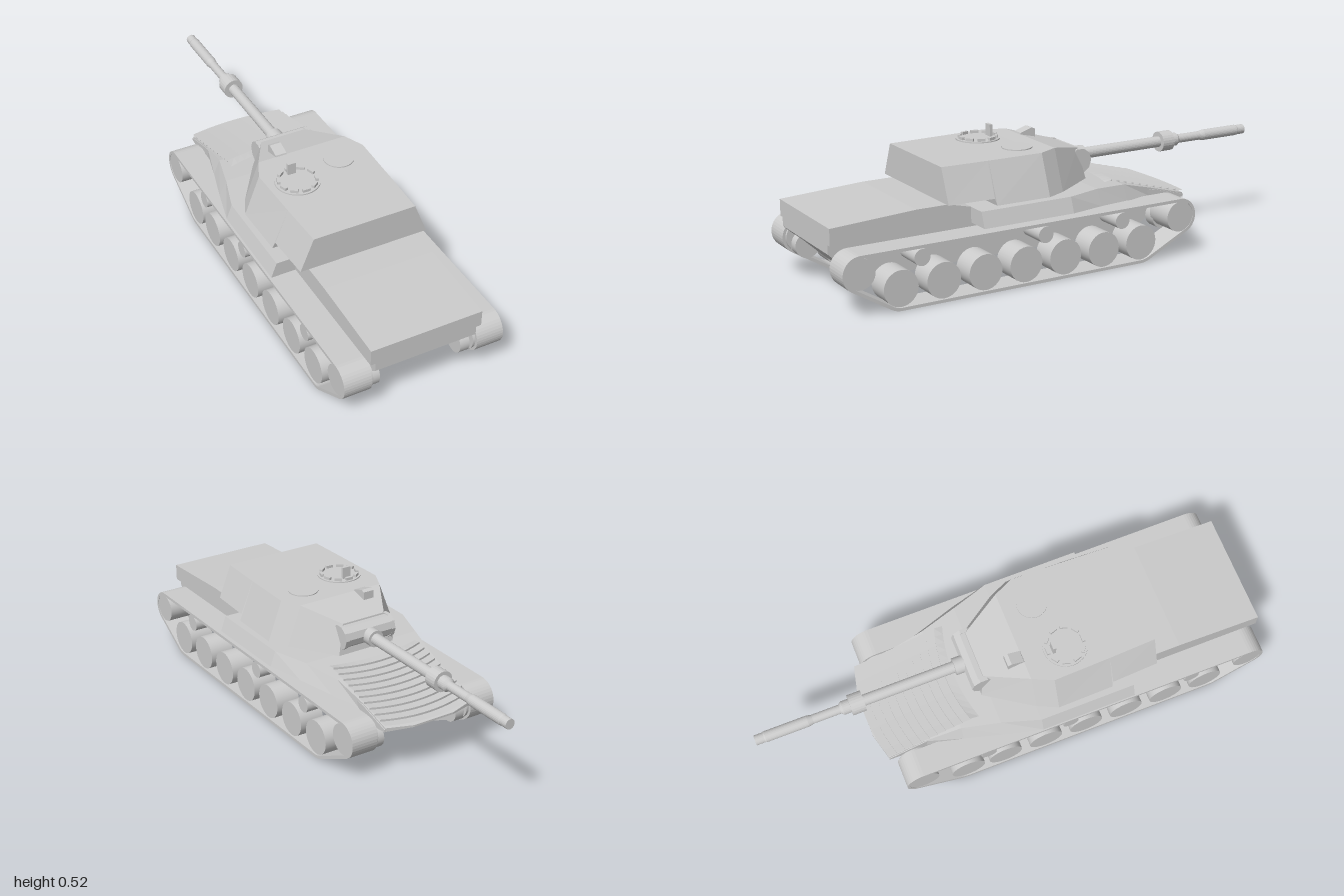
import * as THREE from 'three';

const grey = new THREE.MeshStandardMaterial({ color: 0xcccccc });
const flat = new THREE.MeshStandardMaterial({ color: 0xcccccc, flatShading: true });
const flatBoth = new THREE.MeshStandardMaterial({ color: 0xcccccc, flatShading: true, side: THREE.DoubleSide });

export function createModel() {
  const model = new THREE.Group();

  function add(name, geometry, x = 0, y = 0, z = 0, material = grey, parent = model) {
    const mesh = new THREE.Mesh(geometry, material);
    mesh.name = name;
    mesh.position.set(x, y, z);
    parent.add(mesh);
    return mesh;
  }

  // Cylinder lying along x
  const axle = (r, w, n = 32) => new THREE.CylinderGeometry(r, r, w, n).rotateZ(Math.PI / 2);

  // Side outline in (z, y), extruded from x0 to x1
  function sidePlate(outline, x0, x1, hole) {
    const v = (p) => p.map(([z, y]) => new THREE.Vector2(z, y));
    const shape = new THREE.Shape(v(outline));
    if (hole) shape.holes.push(new THREE.Path(v(hole)));
    const g = new THREE.ExtrudeGeometry(shape, { depth: x1 - x0, bevelEnabled: false });
    return g.rotateY(-Math.PI / 2).translate(x1, 0, 0);
  }

  // Skin over rings given as half outlines, mirrored across x = 0
  function mirroredLoft(halves) {
    const rings = halves.map((h) => [...h, ...h.slice().reverse().map(([x, y, z]) => [-x, y, z])]);
    const pos = [];
    const quad = (a, b, c, d) => pos.push(...a, ...b, ...c, ...a, ...c, ...d);
    const n = rings[0].length;
    for (let r = 0; r + 1 < rings.length; r++)
      for (let i = 0; i < n; i++) {
        const j = (i + 1) % n;
        quad(rings[r][i], rings[r][j], rings[r + 1][j], rings[r + 1][i]);
      }
    const s = rings[0], e = rings[rings.length - 1];
    for (let i = 0; i + 1 < n / 2; i++) {
      quad(e[i], e[i + 1], e[n - 2 - i], e[n - 1 - i]);
      quad(s[n - 1 - i], s[n - 2 - i], s[i + 1], s[i]);
    }
    const g = new THREE.BufferGeometry();
    g.setAttribute('position', new THREE.Float32BufferAttribute(pos, 3));
    g.computeVertexNormals();
    return g;
  }

  // Lower hull: narrow belly under a wider tub
  add('belly', sidePlate([[0.97, 0.19], [0.86, 0.087], [-0.33, 0.087], [-0.5, 0.19]], -0.165, 0.165));
  add('hullTub', sidePlate([[1, 0.25], [1, 0.215], [0.97, 0.187], [-0.42, 0.187], [-0.545, 0.2],
    [-0.545, 0.21], [-0.4, 0.25]], -0.204, 0.204));
  add('engineDeck', sidePlate([[1, 0.25], [1, 0.315], [0.66, 0.333], [0.53, 0.333], [0.435, 0.31],
    [0.435, 0.25]], -0.224, 0.224));

  // Upper hull with flared sponsons: z, lower half width, upper half width, bottom, top
  const sections = [
    [-0.573, 0.09, 0.09, 0.2, 0.208], [-0.545, 0.2, 0.2, 0.2, 0.215], [-0.4, 0.202, 0.2, 0.215, 0.254],
    [-0.25, 0.24, 0.215, 0.235, 0.294], [-0.1, 0.285, 0.255, 0.246, 0.308],
    [0.05, 0.324, 0.302, 0.25, 0.31], [0.435, 0.324, 0.302, 0.25, 0.31],
  ];
  add('upperHull', mirroredLoft(sections.map(([z, w0, w1, y0, y1]) => [[w0, y0, z], [w1, y1, z]])), 0, 0, 0, flat);

  // Ribbed glacis: curved overlapping steps
  const glacisY = (z) => 0.31 - 0.1 * Math.max(0, (-0.2 - z) / 0.37);
  const steps = 11, cols = 12, rows = [], glacisPos = [];
  for (let k = 0; k <= steps; k++) {
    const z = -0.2 - (0.375 * k) / steps;
    if (k > 0) rows.push([z, 0.009]);
    if (k < steps) rows.push([z, 0.001]);
  }
  const glacisPoint = ([zc, lift], c) => {
    const t = (2 * c) / cols - 1;
    const z = zc + 0.03 * t * t;
    return [0.2 * t, glacisY(z) + lift, z];
  };
  for (let r = 0; r + 1 < rows.length; r++)
    for (let c = 0; c < cols; c++) {
      const a = glacisPoint(rows[r], c), b = glacisPoint(rows[r], c + 1);
      const d = glacisPoint(rows[r + 1], c), e = glacisPoint(rows[r + 1], c + 1);
      glacisPos.push(...a, ...b, ...e, ...a, ...e, ...d);
    }
  const glacis = new THREE.BufferGeometry();
  glacis.setAttribute('position', new THREE.Float32BufferAttribute(glacisPos, 3));
  glacis.computeVertexNormals();
  add('ribbedGlacis', glacis, 0, 0, 0, flatBoth);

  // Track belt: outline wrapped around four circles (z, y, radius)
  function beltOutline(inset) {
    const circles = [[-0.446, 0.16, 0.072], [-0.262, 0.083, 0.083], [0.773, 0.083, 0.083], [0.931, 0.163, 0.069]]
      .map(([z, y, r]) => [z, y, r - inset]);
    const tangent = circles.map(([z, y, r], i) => {
      const [z2, y2, r2] = circles[(i + 1) % 4];
      return Math.atan2(y2 - y, z2 - z) - Math.acos((r - r2) / Math.hypot(z2 - z, y2 - y));
    });
    const pts = [];
    circles.forEach(([z, y, r], i) => {
      const from = tangent[(i + 3) % 4];
      let sweep = tangent[i] - from;
      while (sweep < 0) sweep += 2 * Math.PI;
      const n = Math.max(3, Math.ceil(sweep / 0.17));
      for (let k = 0; k <= n; k++) {
        const a = from + (sweep * k) / n;
        pts.push([z + r * Math.cos(a), y + r * Math.sin(a)]);
      }
    });
    return pts;
  }

  // Running gear on both sides
  for (const side of [1, -1]) {
    const gear = new THREE.Group();
    gear.name = side > 0 ? 'leftRunningGear' : 'rightRunningGear';
    model.add(gear);
    const x0 = side > 0 ? 0.214 : -0.324;
    add('trackBelt', sidePlate(beltOutline(0), x0, x0 + 0.11, beltOutline(0.012)), 0, 0, 0, grey, gear);
    const shift = side > 0 ? 0 : -0.015;
    for (let i = 0; i < 7; i++) {
      const z = 0.773 - 0.1725 * i;
      const s = i < 6 ? shift : 0;
      add('roadWheel', axle(0.069, 0.1), side * 0.269, 0.083, z + s, grey, gear);
      add('wheelAxle', axle(0.018, 0.08, 12), side * 0.19, 0.1, z + s, grey, gear);
    }
    for (const z of [0.687, 0.17, -0.175])
      add('returnRoller', axle(0.032, 0.115), side * 0.262, 0.184, z, grey, gear);
    add('idlerWheel', axle(0.058, 0.118), side * 0.263, 0.163, 0.931, grey, gear);
    add('driveSprocket', axle(0.061, 0.118), side * 0.263, 0.16, -0.446, grey, gear);
    for (const z of [0.92, -0.44])
      add('finalDrive', axle(0.05, 0.05), side * 0.19, 0.137, z, grey, gear);
  }

  // Turret shell with raised bustle floor and sloping front roof
  const turret = new THREE.Group();
  turret.name = 'turret';
  model.add(turret);
  add('turretShell', mirroredLoft([
    [[0.262, 0.34, 0.548], [0.27, 0.34, 0.36], [0.279, 0.315, 0.355], [0.282, 0.315, 0.13],
      [0.245, 0.315, 0.05], [0.125, 0.315, -0.13]],
    [[0.209, 0.472, 0.548], [0.216, 0.472, 0.36], [0.216, 0.472, 0.355], [0.222, 0.473, 0.13],
      [0.185, 0.474, 0.05], [0.095, 0.435, -0.11]],
  ]), 0, 0, 0, flat, turret);

  // Mantlet and gun
  add('mantlet', axle(0.045, 0.2, 10), 0, 0.386, -0.118, flat, turret);
  for (const s of [1, -1]) add('mantletCheek', axle(0.05, 0.016, 10), s * 0.106, 0.384, -0.113, flat, turret);
  add('gunCollar', new THREE.CylinderGeometry(0.034, 0.034, 0.05, 20).rotateX(Math.PI / 2), 0, 0.38, -0.17, grey, turret);
  const barrel = [[0, 0.1], [0.023, 0.1], [0.022, 0.565], [0.041, 0.565], [0.041, 0.62], [0.027, 0.62],
    [0.027, 0.65], [0.018, 0.66], [0.018, 0.77], [0.022, 0.79], [0.022, 0.96], [0.02, 0.965], [0.02, 1], [0, 1]];
  const profile = [];
  barrel.forEach(([r, l]) => profile.push(new THREE.Vector2(r, l)));
  const gun = new THREE.LatheGeometry(profile, 24).toNonIndexed().rotateX(-Math.PI / 2);
  gun.computeVertexNormals();
  add('gunBarrel', gun, 0, 0.38, 0, grey, turret);

  // Roof fittings
  const disc = (r) => new THREE.CylinderGeometry(r, r, 0.006, 32);
  add('loaderHatch', disc(0.059), 0.098, 0.474, 0.165, grey, turret);
  add('cupolaBase', disc(0.087), -0.106, 0.474, 0.22, grey, turret);
  for (let i = 0; i < 10; i++) {
    const a = (i / 10) * Math.PI * 2;
    const block = add('cupolaBlock', new THREE.BoxGeometry(0.03, 0.014, 0.012),
      -0.106 + 0.072 * Math.sin(a), 0.481, 0.22 + 0.072 * Math.cos(a), grey, turret);
    block.rotation.y = a;
  }
  add('periscope', new THREE.BoxGeometry(0.034, 0.05, 0.012), -0.106, 0.499, 0.17, grey, turret);
  add('gunnerSight', sidePlate([[0.055, 0.465], [0.05, 0.48], [0, 0.496], [-0.015, 0.49], [-0.015, 0.455]],
    -0.112, -0.066), 0, 0, 0, grey, turret);

  return model;
}
